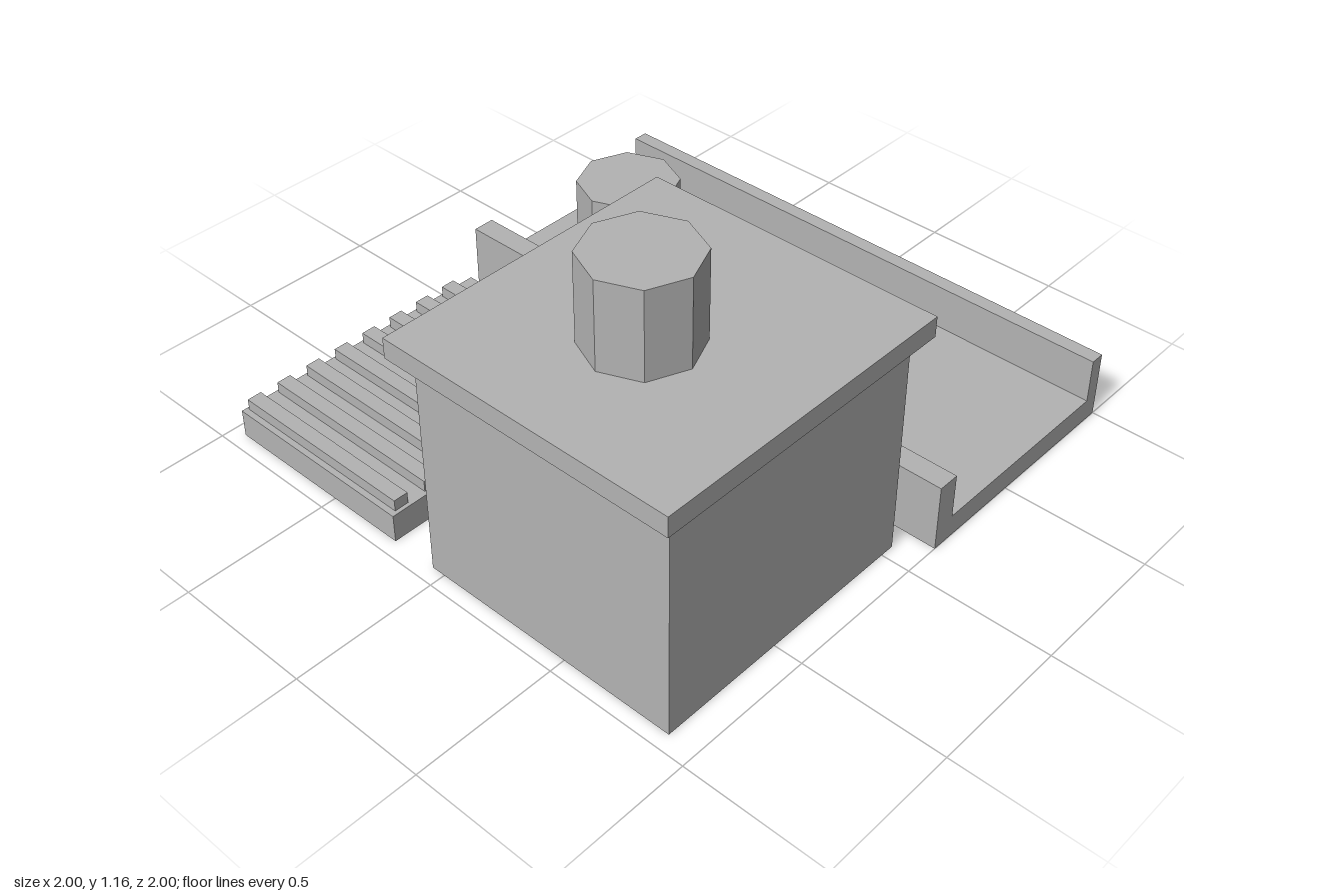
import * as THREE from 'three';

const stone = new THREE.MeshStandardMaterial({ color: 0xb3b3b3, flatShading: true, side: THREE.DoubleSide });
stone.name = 'grey stone';

// Drops the faces lying on the lowest level, leaving a hollow shell
function openBottom(geometry) {
  const flat = geometry.index ? geometry.toNonIndexed() : geometry;
  flat.computeBoundingBox();
  const low = flat.boundingBox.min.y + 1e-4;
  const p = flat.attributes.position;
  const kept = [];
  for (let i = 0; i < p.count; i += 3) {
    if (Math.max(p.getY(i), p.getY(i + 1), p.getY(i + 2)) < low) continue;
    for (let j = i; j < i + 3; j++) kept.push(p.getX(j), p.getY(j), p.getZ(j));
  }
  const shell = new THREE.BufferGeometry();
  shell.setAttribute('position', new THREE.Float32BufferAttribute(kept, 3));
  shell.computeVertexNormals();
  return shell;
}

// Box given by its limits on each axis
function box(x0, x1, y0, y1, z0, z1) {
  return new THREE.BoxGeometry(x1 - x0, y1 - y0, z1 - z0)
    .translate((x0 + x1) / 2, (y0 + y1) / 2, (z0 + z1) / 2);
}

// Eight-sided upright drum
function drum(x, z, radius, y0, y1, open = false) {
  return new THREE.CylinderGeometry(radius, radius, y1 - y0, 8, 1, open)
    .translate(x, (y0 + y1) / 2, z);
}

export function createModel() {
  const model = new THREE.Group();
  model.name = 'hutWithChannel';
  const add = (name, geometry, parent = model) => {
    const mesh = new THREE.Mesh(geometry, stone);
    mesh.name = name;
    parent.add(mesh);
  };

  // Hut with overhanging roof, chimney and back door
  add('hutWalls', openBottom(box(-0.945, 0.05, 0, 0.79, -0.05, 0.9)));
  add('roof', box(-1, 0.1, 0.79, 0.86, -0.107, 0.945));
  add('chimney', drum(-0.53, 0.42, 0.183, 0.86, 1.16));
  add('backDoor', box(-0.61, -0.25, 0.03, 0.59, -0.058, -0.05));

  // Open ring on the side wall
  add('sideRing', drum(0.187, 0.423, 0.233, 0.295, 0.58, true));

  // Long channel with a raised lip on both sides
  const profile = new THREE.Shape([
    [0.13, 0], [1, 0], [1, 0.24], [0.948, 0.24],
    [0.948, 0.08], [0.208, 0.08], [0.208, 0.24], [0.13, 0.24],
  ].map(([x, y]) => new THREE.Vector2(x, y)));
  const channel = new THREE.ExtrudeGeometry(profile, { depth: 2, bevelEnabled: false }).translate(0, 0, -1);
  add('channel', openBottom(channel));
  add('barrel', drum(0.577, -0.685, 0.183, 0.08, 0.37));

  // Low platform behind the hut, covered with slats
  add('platform', openBottom(box(-0.946, 0.05, 0, 0.1, -0.948, -0.217)));
  const slats = new THREE.Group();
  slats.name = 'slats';
  model.add(slats);
  for (let i = 0; i < 8; i++) {
    const x = -0.925 + i * 0.1188;
    add('slat', box(x, x + 0.052, 0.1, 0.14, -0.937, -0.231), slats);
  }
  return model;
}
